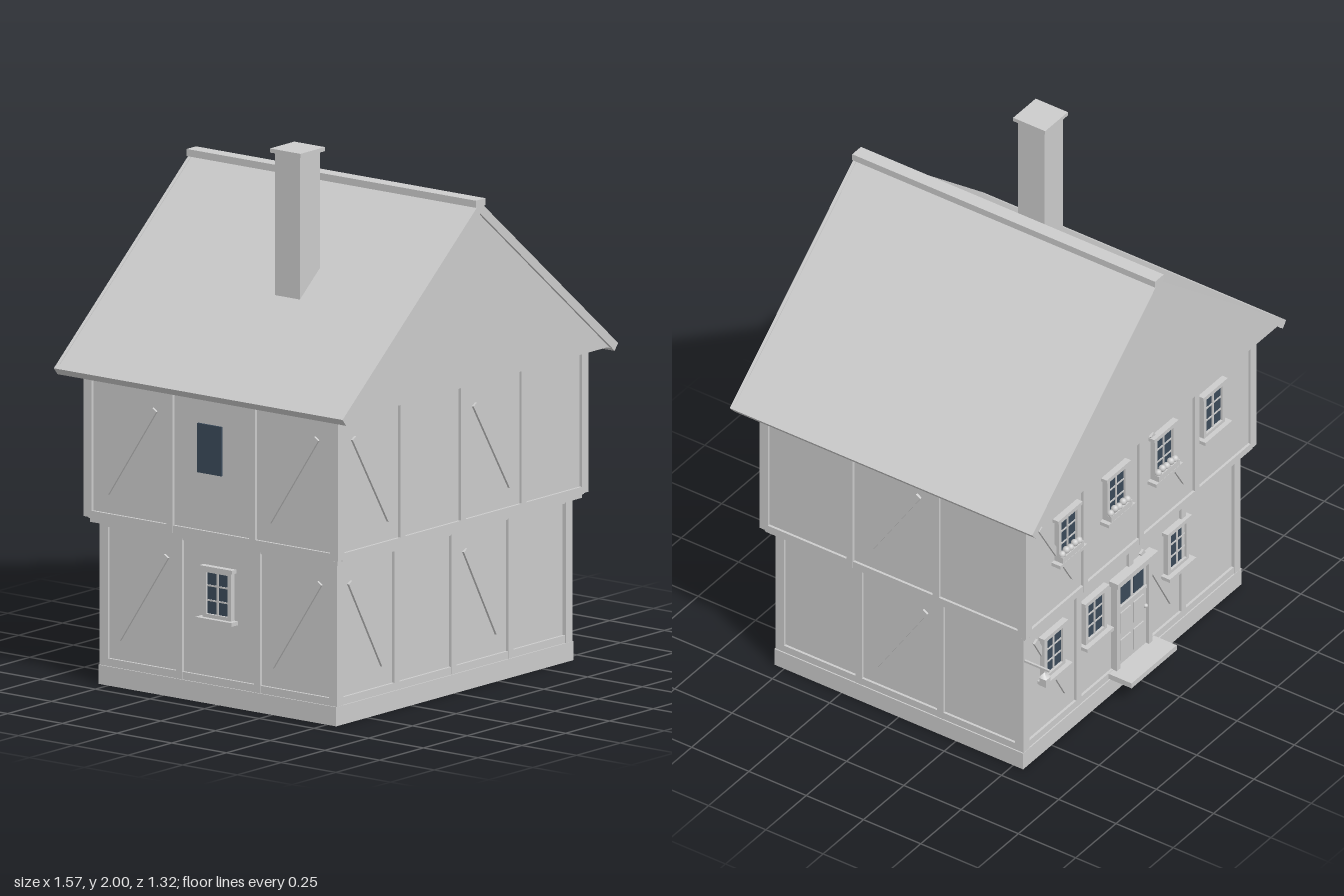
import * as THREE from 'three';

const stone = new THREE.MeshStandardMaterial({ color: 0xcccccc });
stone.name = 'pale grey';
const glass = new THREE.MeshStandardMaterial({ color: 0x3a4a5a });
glass.name = 'dark slate glass';

function add(parent, name, geometry, material = stone) {
  const mesh = new THREE.Mesh(geometry, material);
  mesh.name = name;
  parent.add(mesh);
  return mesh;
}

function box(parent, name, w, h, d, x, y, z, material) {
  const mesh = add(parent, name, new THREE.BoxGeometry(w, h, d), material);
  mesh.position.set(x, y, z);
  return mesh;
}

function group(parent, name) {
  const g = new THREE.Group();
  g.name = name;
  parent.add(g);
  return g;
}

// Timbers of one wall; z = 0 is the wall surface and +z points outwards
function timberWall(parent, name, angle, out, half, y0, y1, posts, braces) {
  const wall = group(parent, name);
  wall.rotation.y = angle;
  const face = group(wall, name + 'Face');
  face.position.z = out;
  box(face, 'sillBeam', half * 2, 0.028, 0.012, 0, y0 + 0.014, 0.004);
  box(face, 'topBeam', half * 2, 0.02, 0.012, 0, y1 - 0.01, 0.004);
  for (const x of posts) box(face, 'post', 0.028, y1 - y0, 0.014, x, (y0 + y1) / 2, 0.004);
  for (const [xa, ya, xb, yb] of braces) {
    const brace = box(face, 'brace', Math.hypot(xb - xa, yb - ya), 0.022, 0.012, (xa + xb) / 2, (ya + yb) / 2, 0.003);
    brace.rotation.z = Math.atan2(yb - ya, xb - xa);
  }
  return face;
}

// Six-pane window with frame, lintel, sill and optional flower box
function windowUnit(face, x, y, flowers) {
  const w = group(face, 'window');
  w.position.set(x, y, 0);
  box(w, 'glass', 0.11, 0.165, 0.008, 0, 0, 0.006, glass);
  for (const s of [-1, 1]) {
    box(w, 'jamb', 0.016, 0.18, 0.024, s * 0.057, 0, 0.008);
    box(w, 'frameRail', 0.13, 0.014, 0.024, 0, s * 0.083, 0.008);
    box(w, 'glazingBar', 0.11, 0.006, 0.008, 0, s * 0.027, 0.009);
  }
  box(w, 'mullion', 0.008, 0.165, 0.01, 0, 0, 0.009);
  box(w, 'lintel', 0.15, 0.014, 0.03, 0, 0.092, 0.01);
  box(w, 'sill', 0.165, 0.014, 0.046, 0, -0.096, 0.016);
  if (!flowers) return;
  box(w, 'flowerBox', 0.13, 0.026, 0.028, 0, -0.078, 0.024);
  for (let i = 0; i < 5; i++) {
    const bloom = add(w, 'flower', new THREE.IcosahedronGeometry(0.014, 1));
    bloom.position.set(-0.052 + i * 0.026, -0.06 + (i % 2) * 0.005, 0.025);
  }
}

// Framed entrance with glazed top, panels, hood and step
function entrance(face) {
  const d = group(face, 'door');
  box(d, 'doorLeaf', 0.18, 0.37, 0.014, 0, 0.28, 0.004);
  for (const s of [-1, 1]) {
    box(d, 'doorPost', 0.022, 0.385, 0.03, s * 0.1, 0.285, 0.01);
    box(d, 'doorGlass', 0.06, 0.08, 0.006, s * 0.04, 0.405, 0.011, glass);
    for (const y of [0.16, 0.28]) box(d, 'doorPanel', 0.062, 0.09, 0.008, s * 0.04, y, 0.012);
  }
  box(d, 'doorRail', 0.18, 0.012, 0.014, 0, 0.35, 0.01);
  box(d, 'doorHood', 0.25, 0.022, 0.05, 0, 0.484, 0.015);
  box(d, 'doorStep', 0.28, 0.022, 0.11, 0, 0.085, 0.055);
  const knob = add(d, 'doorKnob', new THREE.SphereGeometry(0.009, 10, 8));
  knob.position.set(0.078, 0.27, 0.018);
}

// Board following the roof slope between two x positions
const SLOPE = (1.815 - 1.16) / 0.785;
function slopeBoard(parent, name, side, x0, x1, z0, z1, drop, thick) {
  const nx = 0.64, ny = 0.768;
  const at = (x, off) => new THREE.Vector2(side * (x - nx * off), 1.815 - SLOPE * x - ny * off);
  const inner = (off) => (x0 === 0 ? new THREE.Vector2(0, 1.815 - off / ny) : at(x0, off));
  const shape = new THREE.Shape([inner(drop), at(x1, drop), at(x1, drop + thick), inner(drop + thick)]);
  const geo = new THREE.ExtrudeGeometry(shape, { depth: z1 - z0, bevelEnabled: false });
  geo.translate(0, 0, z0);
  add(parent, name, geo);
}

export function createModel() {
  const house = new THREE.Group();
  house.name = 'timberHouse';

  // Plinth, storeys and jetty
  box(house, 'plinth', 1.354, 0.07, 1.086, 0, 0.035, 0);
  box(house, 'lowerWalls', 1.324, 0.54, 1.056, 0, 0.335, 0);
  box(house, 'jettyBeam', 1.396, 0.026, 1.132, 0, 0.607, 0);
  box(house, 'upperWalls', 1.408, 0.54, 1.144, 0, 0.885, 0);
  for (const sx of [-1, 1]) for (const sz of [-1, 1]) {
    box(house, 'lowerCornerPost', 0.037, 0.53, 0.037, sx * 0.6535, 0.333, sz * 0.5235);
    box(house, 'upperCornerPost', 0.037, 0.535, 0.037, sx * 0.6955, 0.883, sz * 0.5635);
  }

  // Timber framing of the four sides, both storeys
  const longLow = [[-0.587, 0.51, -0.397, 0.175], [0.07, 0.51, 0.256, 0.175]];
  const longHigh = [[-0.62, 1.05, -0.416, 0.715], [0.07, 1.05, 0.276, 0.715]];
  const slant = (cx, y0, y1) => [cx - 0.11, y0, cx + 0.11, y1];
  const lowPosts = [-0.325, 0, 0.325], highPosts = [-0.346, 0, 0.346];
  const sidePosts = [-0.178, 0.178], sideHigh = [-0.188, 0.188];

  timberWall(house, 'frontLower', 0, 0.528, 0.65, 0.07, 0.6, lowPosts, longLow);
  timberWall(house, 'frontUpper', 0, 0.572, 0.69, 0.612, 1.15, highPosts, longHigh);
  const backLow = timberWall(house, 'backLower', Math.PI, 0.528, 0.65, 0.07, 0.6, lowPosts, longLow);
  const backHigh = timberWall(house, 'backUpper', Math.PI, 0.572, 0.69, 0.612, 1.15, highPosts, longHigh);
  const q = Math.PI / 2;
  timberWall(house, 'leftLower', q, 0.662, 0.52, 0.07, 0.6, sidePosts, [slant(0, 0.175, 0.51)]);
  timberWall(house, 'leftUpper', q, 0.704, 0.56, 0.612, 1.15, sideHigh, [slant(0, 0.715, 1.05)]);
  const rightLow = timberWall(house, 'rightLower', -q, 0.662, 0.52, 0.07, 0.6, sidePosts,
    [slant(-0.35, 0.175, 0.51), slant(0.35, 0.175, 0.51)]);
  const rightHigh = timberWall(house, 'rightUpper', -q, 0.704, 0.56, 0.612, 1.15, sideHigh,
    [slant(-0.37, 0.715, 1.05), slant(0.37, 0.715, 1.05)]);

  // Windows and door
  [-0.46, -0.16, 0.135, 0.44].forEach((x, i) => windowUnit(backHigh, x, 0.94, i < 3));
  for (const x of [-0.485, -0.23, 0.28]) windowUnit(backLow, x, 0.41, false);
  entrance(backLow);
  windowUnit(rightLow, 0, 0.405, false);
  box(rightHigh, 'sideGlass', 0.11, 0.18, 0.008, -0.01, 0.94, 0.004, glass);

  // Roof: solid gable core, slopes, bargeboards and eave boards
  const gable = new THREE.Shape([
    new THREE.Vector2(-0.755, 1.15), new THREE.Vector2(0.755, 1.15), new THREE.Vector2(0, 1.79)]);
  const gableGeo = new THREE.ExtrudeGeometry(gable, { depth: 1.3, bevelEnabled: false });
  gableGeo.translate(0, 0, -0.65);
  add(house, 'gableCore', gableGeo);
  for (const s of [-1, 1]) {
    slopeBoard(house, 'roofSlope', s, 0, 0.772, -0.648, 0.648, 0.003, 0.028);
    slopeBoard(house, 'eaveBoard', s, 0.772, 0.787, -0.66, 0.66, 0, 0.033);
    for (const z of [-0.66, 0.647]) slopeBoard(house, 'bargeboard', s, 0, 0.785, z, z + 0.013, 0, 0.032);
  }
  box(house, 'ridgeCap', 0.054, 0.026, 1.322, 0, 1.812, 0);

  // Chimney
  box(house, 'chimneyStack', 0.115, 0.6, 0.115, -0.36, 1.686, 0.112);
  box(house, 'chimneyCap', 0.14, 0.015, 0.14, -0.36, 1.9925, 0.112);

  // Lantern hanging from an arm at the back corner
  const lantern = group(house, 'lantern');
  lantern.position.set(0.68, 0, -0.64);
  box(lantern, 'lanternArm', 0.008, 0.008, 0.12, -0.015, 0.476, 0.05);
  box(lantern, 'lanternBody', 0.026, 0.036, 0.03, 0, 0.438, 0);
  const cap = add(lantern, 'lanternCap', new THREE.ConeGeometry(0.024, 0.02, 4));
  cap.rotation.y = Math.PI / 4;
  cap.position.y = 0.466;
  return house;
}
